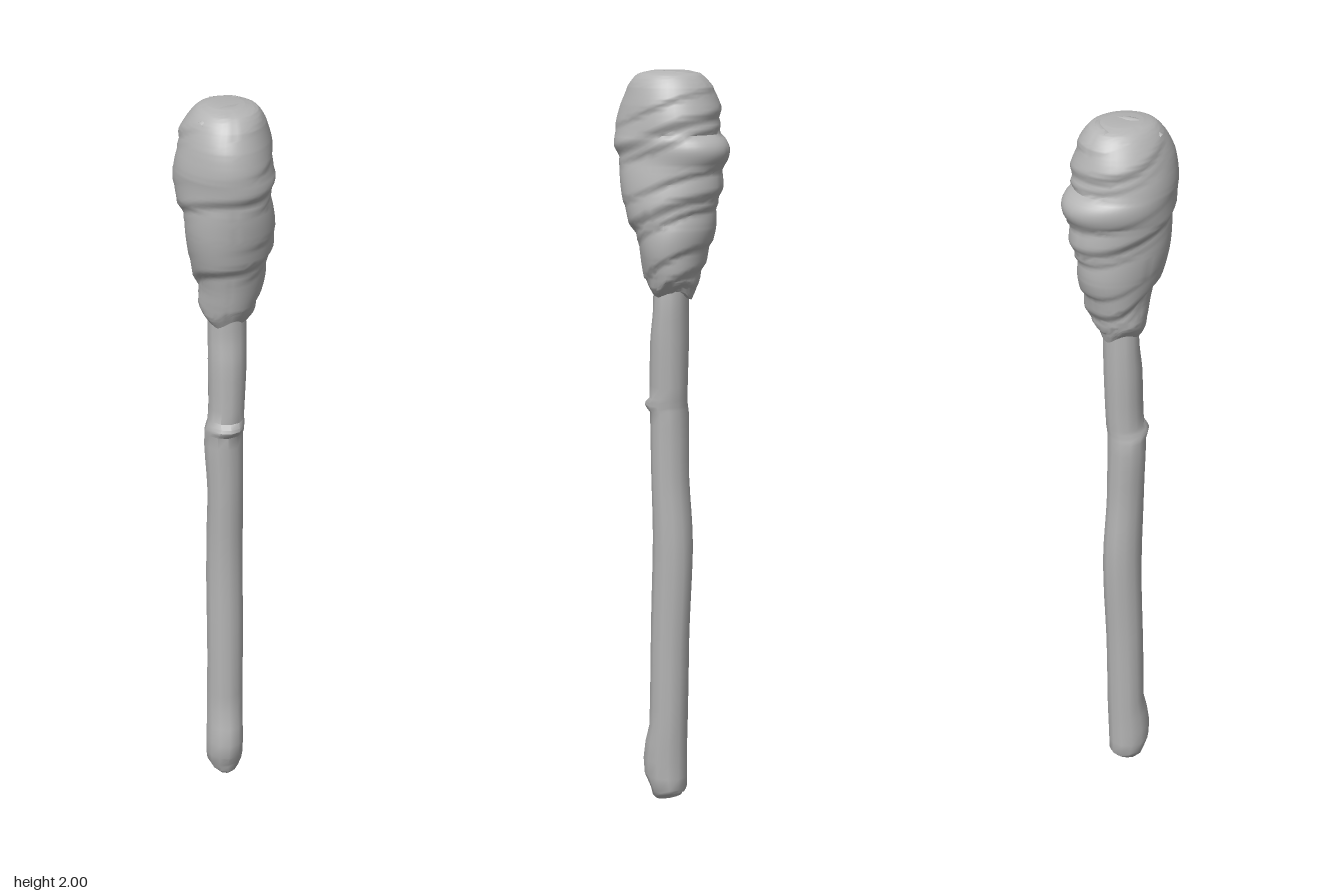
import * as THREE from 'three';
import { toCreasedNormals } from 'three/addons/utils/BufferGeometryUtils.js';

// Closed skin through stacked cross-sections [y, xMin, xMax, zMin, zMax];
// shape(point, angle, centre) may bend each vertex afterwards.
function loft(sections, rows, sides, shape, crease) {
  const curve = (k) => new THREE.CatmullRomCurve3(
    sections.map((s) => new THREE.Vector3(s[k], s[k + 1] ?? 0, 0)));
  const yx = curve(0), xz = curve(2), zz = curve(4);
  const pos = [], idx = [];
  const p = new THREE.Vector3(), c = new THREE.Vector3();
  for (let r = 0; r <= rows; r++) {
    const t = r / rows;
    const a = yx.getPoint(t), b = xz.getPoint(t), z1 = zz.getPoint(t).x;
    c.set((a.y + b.x) / 2, a.x, (b.y + z1) / 2);
    for (let i = 0; i < sides; i++) {
      const th = (i / sides) * Math.PI * 2;
      p.set(c.x + Math.sin(th) * (b.x - a.y) / 2, c.y, c.z + Math.cos(th) * (z1 - b.y) / 2);
      shape(p, th, c);
      pos.push(p.x, p.y, p.z);
    }
  }
  for (let r = 0; r < rows; r++) {
    for (let i = 0; i < sides; i++) {
      const j = (i + 1) % sides;
      const a = r * sides + i, b = r * sides + j;
      idx.push(a, b, b + sides, a, b + sides, a + sides);
    }
  }
  // end caps as fans around the mean point of the end rings
  for (const [r, flip] of [[0, true], [rows, false]]) {
    const m = new THREE.Vector3();
    for (let i = 0; i < sides; i++) m.add(p.fromArray(pos, (r * sides + i) * 3));
    m.divideScalar(sides);
    const n = pos.length / 3;
    pos.push(m.x, m.y - (flip ? 0 : 0.006), m.z);
    for (let i = 0; i < sides; i++) {
      const a = r * sides + i, b = r * sides + (i + 1) % sides;
      if (flip) idx.push(n, b, a); else idx.push(n, a, b);
    }
  }
  const g = new THREE.BufferGeometry();
  g.setAttribute('position', new THREE.Float32BufferAttribute(pos, 3));
  g.setIndex(idx);
  return toCreasedNormals(g, crease);
}

export function createModel() {
  const model = new THREE.Group();
  const grey = new THREE.MeshStandardMaterial({ color: 0xb4b4b4 });
  grey.name = 'plain grey';

  // Slightly crooked wooden shaft with a slanted, chipped foot
  const shaft = [
    [0.012, -0.03, 0.03, -0.03, 0.045],
    [0.04, -0.05, 0.05, -0.043, 0.06],
    [0.22, -0.05, 0.054, -0.046, 0.06],
    [0.45, -0.048, 0.054, -0.05, 0.056],
    [0.72, -0.048, 0.054, -0.061, 0.05],
    [0.92, -0.047, 0.052, -0.048, 0.055],
    [1.1, -0.054, 0.052, -0.045, 0.058],
    [1.14, -0.044, 0.054, -0.046, 0.058],
    [1.3, -0.043, 0.061, -0.05, 0.052],
    [1.38, -0.042, 0.062, -0.05, 0.042],
    [1.46, -0.04, 0.058, -0.05, 0.04],
  ];
  const handle = new THREE.Mesh(loft(shaft, 40, 12, (p, th, c) => {
    const knot = 1 + 0.03 * Math.sin(3 * th + p.y * 4) * Math.sin(p.y * 9);
    p.x = c.x + (p.x - c.x) * knot;
    p.z = c.z + (p.z - c.z) * knot;
    if (p.y < 0.03) p.y = Math.max(0, p.y - p.z * 0.25);
  }, 0.7), grey);
  handle.name = 'handle';
  model.add(handle);

  // Cloth head: bulging sections carrying overlapping spiral folds
  const bundle = [
    [1.42, -0.04, 0.055, -0.07, 0.045],
    [1.45, -0.062, 0.084, -0.086, 0.058],
    [1.52, -0.072, 0.105, -0.1, 0.078],
    [1.6, -0.09, 0.12, -0.125, 0.105],
    [1.68, -0.105, 0.125, -0.14, 0.128],
    [1.76, -0.114, 0.125, -0.146, 0.144],
    [1.84, -0.122, 0.125, -0.146, 0.146],
    [1.91, -0.115, 0.118, -0.132, 0.138],
    [1.96, -0.092, 0.105, -0.113, 0.116],
    [1.99, -0.066, 0.084, -0.085, 0.086],
    [2.0, -0.04, 0.05, -0.05, 0.05],
  ];
  const frac = (v) => v - Math.floor(v);
  // height of a fold: steep lower lip, then a long slope up under the next one
  const fold = (v) => {
    const f = frac(v);
    return f < 0.12 ? f / 0.12 : 1 - (f - 0.12) / 0.88 * (f - 0.12) / 0.88;
  };
  const head = new THREE.Mesh(loft(bundle, 90, 48, (p, th, c) => {
    const turn = th / (Math.PI * 2);
    const back = 0.5 - 0.5 * Math.cos(th + 0.7);
    const v = (p.y - 1.775 + 0.012 * Math.sin(2 * th)) / 0.2 - turn;
    const fade = THREE.MathUtils.smoothstep(2.0 - p.y, 0, 0.12);
    const dent = fade * (0.013 * (fold(v) - 0.8) + 0.009 * back * (fold(2 * v + 0.3) - 0.8))
      + 0.004 * Math.sin(3 * th + p.y * 14) * fade;
    const r = Math.hypot(p.x - c.x, p.z - c.z) || 1;
    const k = 1 + dent / r;
    p.x = c.x + (p.x - c.x) * k;
    p.z = c.z + (p.z - c.z) * k;
    // ragged lower hem
    if (p.y < 1.46) p.y += 0.012 * Math.sin(3 * th + 1);
  }, 0.8), grey);
  head.name = 'wrappedHead';
  model.add(head);

  // Tucked cloth end curling across the crown
  const tuck = new THREE.CatmullRomCurve3([
    [-0.07, 1.962, 0.055], [-0.02, 1.986, 0.035], [0.03, 1.986, 0.012],
    [0.055, 1.984, -0.02], [0.035, 1.986, -0.055], [-0.02, 1.982, -0.07],
  ].map((q) => new THREE.Vector3(...q)));
  const crown = new THREE.Mesh(new THREE.TubeGeometry(tuck, 24, 0.013, 8), grey);
  crown.name = 'crownFold';
  model.add(crown);
  return model;
}
